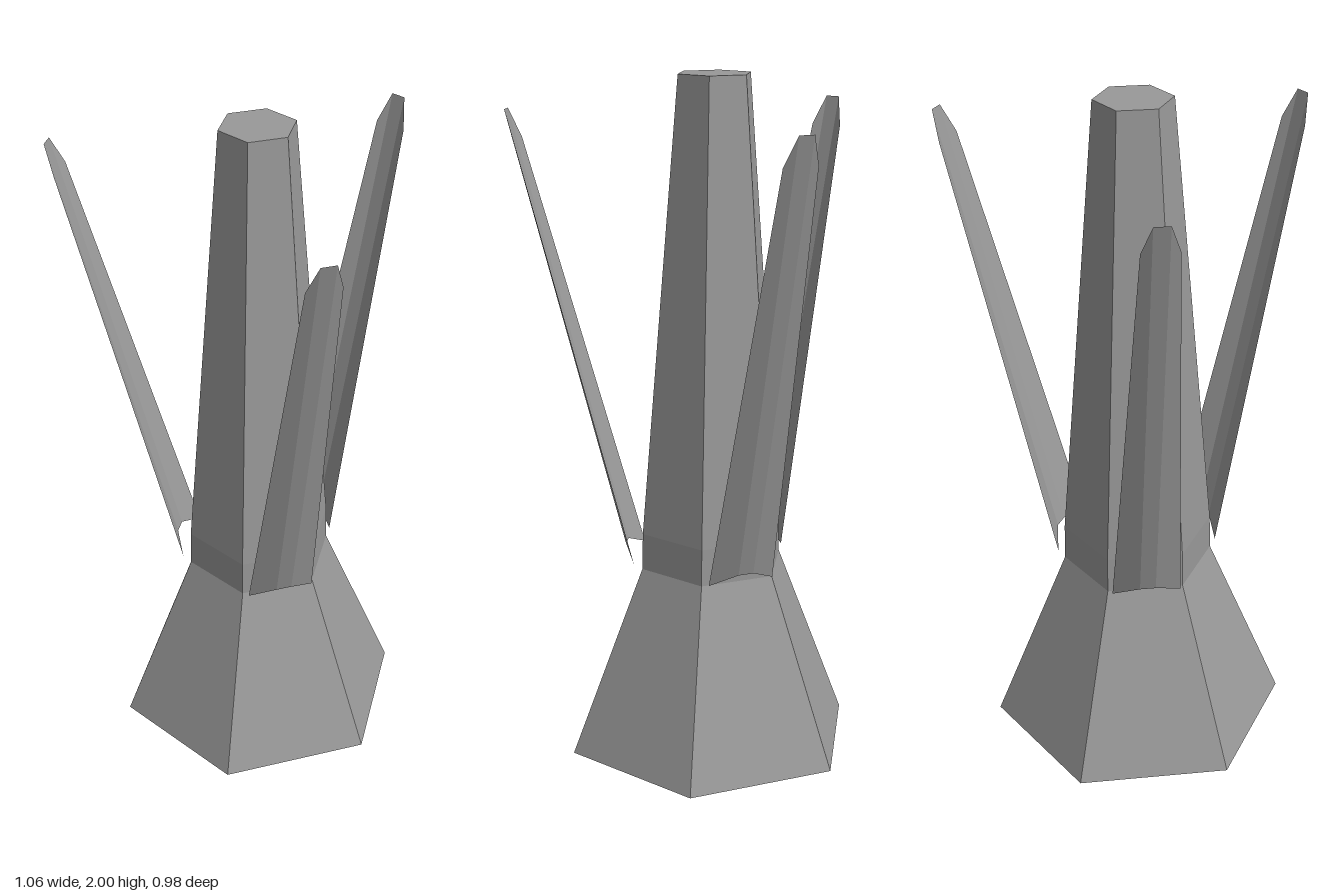
import * as THREE from 'three';

const AXIS_Z = -0.105;

export function createModel() {
  const model = new THREE.Group();
  const solid = new THREE.MeshStandardMaterial({ color: 0x999999, flatShading: true });
  const sheet = new THREE.MeshStandardMaterial({ color: 0x999999, flatShading: true, side: THREE.DoubleSide });

  // Everything is arranged around the column's own axis
  const plant = new THREE.Group();
  plant.name = 'column';
  plant.position.z = AXIS_Z;
  model.add(plant);

  // Six-sided column, split from base to top; points are [radius, height]
  const profile = [[0, 0], [0.445, 0], [0.222, 0.56], [0.22, 0.67], [0.11, 2], [0, 2]]
    .map(([r, y]) => new THREE.Vector2(r, y));
  const addPart = (name, points) => {
    const mesh = new THREE.Mesh(new THREE.LatheGeometry(points, 6, Math.PI / 6), solid);
    mesh.name = name;
    plant.add(mesh);
  };
  addPart('flaredBase', profile.slice(0, 3));
  addPart('collar', profile.slice(2, 4));
  addPart('shaft', profile.slice(3));

  // Folded leaf: four columns across, from the notched foot to the clipped tip
  const foot = [[-0.1, 0.57, 0.22], [-0.023, 0.605, 0.257], [0.023, 0.605, 0.257], [0.1, 0.57, 0.22]];
  const tip = [[-0.05, 1.81, 0.565], [-0.022, 1.893, 0.597], [0.022, 1.893, 0.597], [0.05, 1.81, 0.565]];
  const index = [];
  for (let i = 0; i < 3; i++) index.push(i, i + 1, i + 5, i, i + 5, i + 4);
  const leaf = new THREE.BufferGeometry();
  leaf.setAttribute('position', new THREE.Float32BufferAttribute([...foot, ...tip].flat(), 3));
  leaf.setIndex(index);
  leaf.computeVertexNormals();

  // Three leaves, a third of a turn apart
  ['frontLeaf', 'leftLeaf', 'rightLeaf'].forEach((name, i) => {
    const mesh = new THREE.Mesh(leaf, sheet);
    mesh.name = name;
    mesh.rotation.y = (i * Math.PI * 2) / 3;
    plant.add(mesh);
  });

  return model;
}
